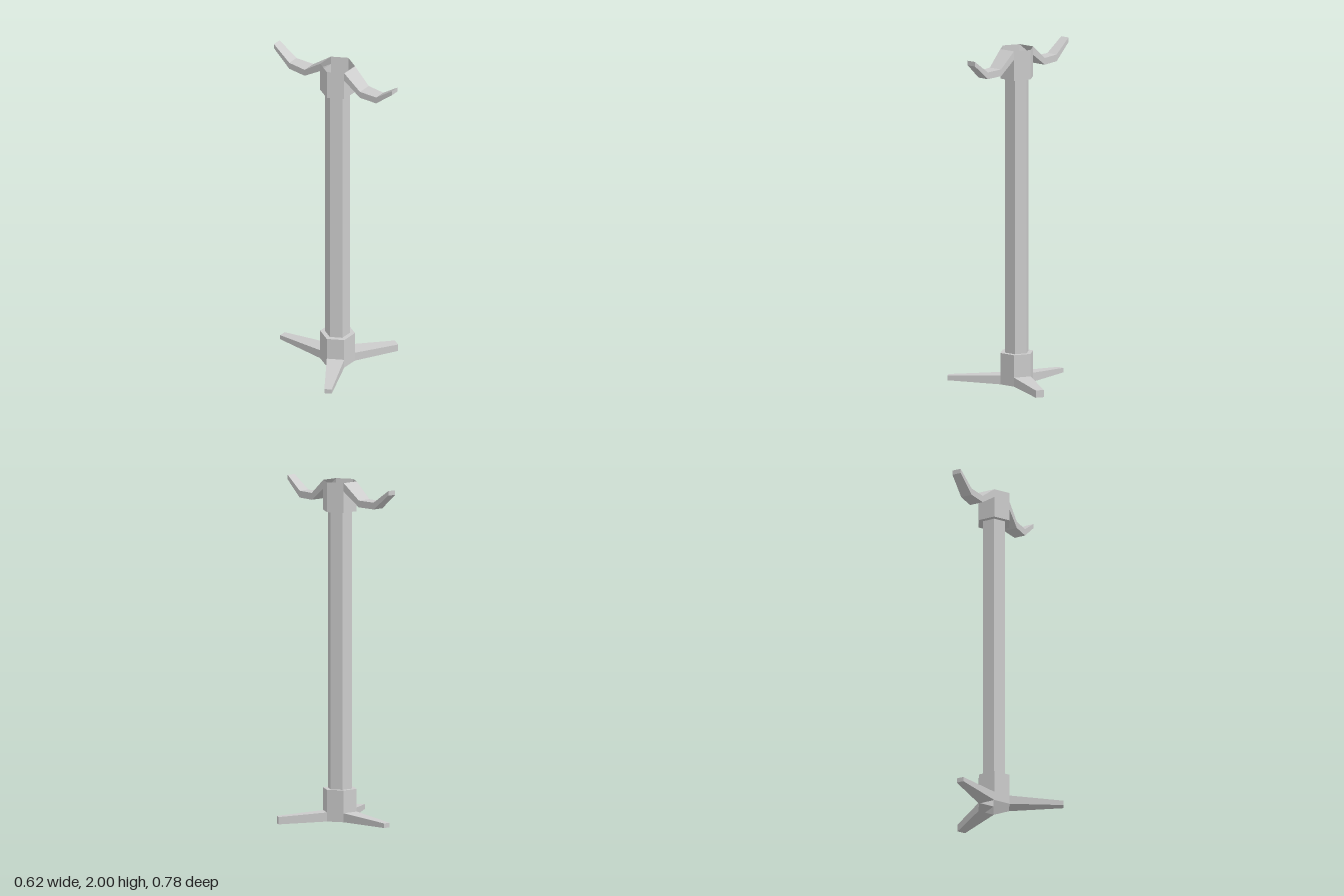
import * as THREE from 'three';

const material = new THREE.MeshStandardMaterial({
  color: 0xcccccc, flatShading: true, side: THREE.DoubleSide,
});
const R = 0.102;                    // collar corner radius
const POLE = 0.073;                 // pole corner radius
const APOTHEM = R * Math.cos(Math.PI / 6);
const BASE = 0.012, ROOT_LOW = 0.065, ROOT_HIGH = 1.95, TOP = 2;

// Tapered limb along +x; each section is [distance, bottom, top, width].
function limb(name, angle, sections) {
  const points = [], index = [];
  for (const [x, y0, y1, w] of sections) {
    points.push(x, y0, w / 2, x, y0, -w / 2, x, y1, -w / 2, x, y1, w / 2);
  }
  for (let i = 0; i < sections.length - 1; i++) {
    for (let k = 0; k < 4; k++) {
      const a = i * 4 + k, b = i * 4 + (k + 1) % 4;
      index.push(a, b, b + 4, a, b + 4, a + 4);
    }
  }
  const e = (sections.length - 1) * 4;
  index.push(e, e + 1, e + 2, e, e + 2, e + 3);
  const geometry = new THREE.BufferGeometry();
  geometry.setAttribute('position', new THREE.Float32BufferAttribute(points, 3));
  geometry.setIndex(index);
  geometry.computeVertexNormals();
  const mesh = new THREE.Mesh(geometry, material);
  mesh.name = name;
  mesh.rotation.y = THREE.MathUtils.degToRad(angle);
  return mesh;
}

// Flat collar wall on one side of the hexagon.
function wall(name, angle, y0, y1) {
  const geometry = new THREE.PlaneGeometry(R, y1 - y0);
  geometry.rotateY(Math.PI / 2);
  geometry.translate(APOTHEM, (y0 + y1) / 2, 0);
  const mesh = new THREE.Mesh(geometry, material);
  mesh.name = name;
  mesh.rotation.y = THREE.MathUtils.degToRad(angle);
  return mesh;
}

export function createModel() {
  const model = new THREE.Group();
  model.name = 'stand';
  model.position.set(-0.062, 0, 0.01);

  // Hollow six-sided pole with a wider collar at each end
  const profile = [
    [R, ROOT_LOW], [R, 0.198], [POLE, 0.198],
    [POLE, 1.825], [R, 1.825], [R, ROOT_HIGH],
  ].map(([x, y]) => new THREE.Vector2(x, y));
  const pole = new THREE.Mesh(new THREE.LatheGeometry(profile, 6), material);
  pole.name = 'pole';
  model.add(pole);

  // Collar walls between the limbs
  for (const a of [0, 60, 180, 240]) model.add(wall('upperCollarWall', a, ROOT_HIGH, TOP));
  for (const a of [60, 180, 300]) model.add(wall('lowerCollarWall', a, BASE, ROOT_LOW));

  // Two bent arms at the top
  for (const [angle, r1, r2, r3] of [[120, 0.209, 0.328, 0.447], [-60, 0.197, 0.31, 0.421]]) {
    model.add(limb('arm', angle, [
      [APOTHEM, ROOT_HIGH, TOP, R],
      [r1, 1.87, 1.91, 0.084],
      [r2, 1.87, 1.91, 0.069],
      [r3, 1.963, 1.99, 0.054],
    ]));
  }

  // Three tapered feet
  for (const [angle, r, y0, y1, w] of [
    [0, 0.369, 0, 0.043, 0.05],
    [120, 0.405, 0.01, 0.037, 0.043],
    [240, 0.403, 0.02, 0.048, 0.043],
  ]) {
    model.add(limb('foot', angle, [[APOTHEM, BASE, ROOT_LOW, R], [r, y0, y1, w]]));
  }

  const group = new THREE.Group();
  group.add(model);
  return group;
}
